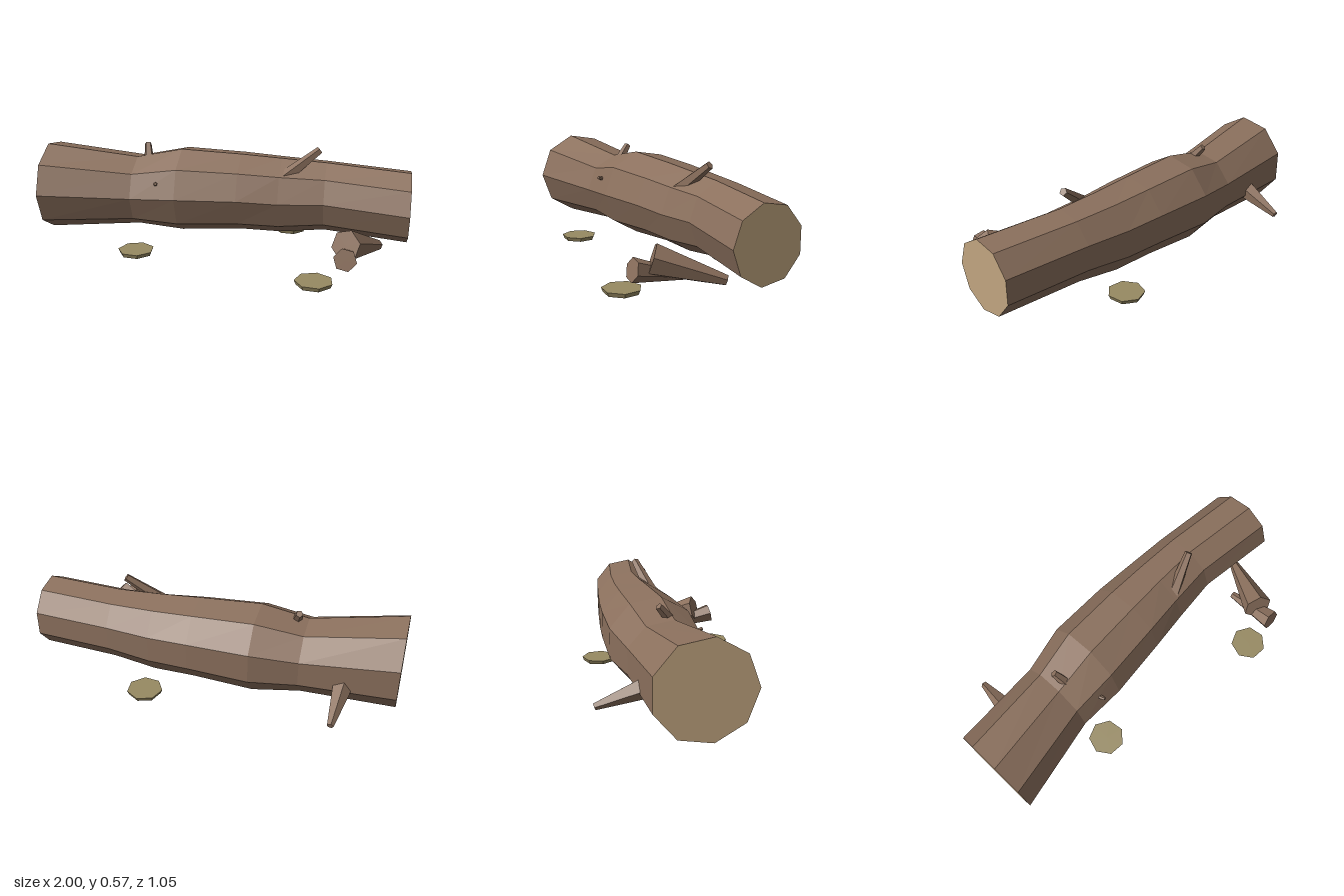
import * as THREE from 'three';

const material = (color) => new THREE.MeshStandardMaterial({ color, flatShading: true, roughness: 1 });
const bark = material(0x8b705d);
const cutWood = material(0xc2a680);
const moss = material(0x978a62);

const SIDES = 9;

// Trunk sections along its length: position, back, front, bottom, top
const SECTIONS = [
  [-0.976, -0.242, 0.235, 0.045, 0.53],
  [-0.48, -0.268, 0.137, 0.075, 0.465],
  [-0.23, -0.318, 0.147, 0.05, 0.517],
  [0.1, -0.314, 0.12, 0.073, 0.503],
  [0.32, -0.3, 0.097, 0.07, 0.49],
  [0.56, -0.279, 0.08, 0.1, 0.478],
  [1.0, -0.23, 0.135, 0.08, 0.46],
];

function ringPoints([u, back, front, bottom, top]) {
  const points = [];
  for (let k = 0; k < SIDES; k++) {
    const a = (k / SIDES) * Math.PI * 2;
    // normalised so the nine-sided ring fills its width and height
    const v = (Math.cos(a) + 0.94) / 1.94;
    const h = (Math.sin(a) + 0.985) / 1.97;
    points.push(new THREE.Vector3(u, bottom + (top - bottom) * h, back + (front - back) * v));
  }
  return points;
}

function fromTriangles(points) {
  const geometry = new THREE.BufferGeometry().setFromPoints(points);
  geometry.computeVertexNormals();
  return geometry;
}

function trunkSides(rings) {
  const tris = [];
  for (let i = 0; i < rings.length - 1; i++) {
    for (let k = 0; k < SIDES; k++) {
      const n = (k + 1) % SIDES;
      const a = rings[i][k], b = rings[i + 1][k], c = rings[i + 1][n], d = rings[i][n];
      tris.push(a, b, c, a, c, d);
    }
  }
  return fromTriangles(tris);
}

function trunkCap(ring, flip) {
  const tris = [];
  for (let k = 1; k < SIDES - 1; k++) {
    if (flip) tris.push(ring[0], ring[k + 1], ring[k]);
    else tris.push(ring[0], ring[k], ring[k + 1]);
  }
  return fromTriangles(tris);
}

// Tapered stick between two points
function branch(name, from, to, r0, r1, sides) {
  const a = new THREE.Vector3(...from), b = new THREE.Vector3(...to);
  const dir = b.clone().sub(a);
  const mesh = new THREE.Mesh(new THREE.CylinderGeometry(r1, r0, dir.length(), sides), bark);
  mesh.position.copy(a).add(b).multiplyScalar(0.5);
  mesh.quaternion.setFromUnitVectors(new THREE.Vector3(0, 1, 0), dir.normalize());
  mesh.name = name;
  return mesh;
}

export function createModel() {
  const model = new THREE.Group();
  model.name = 'fallenLog';

  // Trunk lying diagonally, with cut ends
  const trunk = new THREE.Group();
  trunk.name = 'trunk';
  trunk.rotation.y = THREE.MathUtils.degToRad(18);
  const rings = SECTIONS.map(ringPoints);
  const parts = [
    ['trunkBark', trunkSides(rings), bark],
    ['thickCutEnd', trunkCap(rings[0], false), cutWood],
    ['thinCutEnd', trunkCap(rings[rings.length - 1], true), cutWood],
  ];
  for (const [name, geometry, mat] of parts) {
    const mesh = new THREE.Mesh(geometry, mat);
    mesh.name = name;
    trunk.add(mesh);
  }
  model.add(trunk);

  // Branch stubs growing from the trunk
  model.add(
    branch('upperBranch', [0.26, 0.34, -0.05], [0.48, 0.55, -0.215], 0.045, 0.021, 5),
    branch('topStub', [-0.4, 0.43, 0.1], [-0.45, 0.525, 0.035], 0.03, 0.019, 5),
    branch('frontTwig', [-0.3, 0.35, 0.19], [-0.27, 0.367, 0.235], 0.014, 0.009, 5),
    branch('backBranch', [-0.73, 0.23, 0.03], [-0.795, 0.14, -0.22], 0.058, 0.018, 5),
  );

  // Broken branches on the ground
  model.add(
    branch('largeLooseBranch', [0.77, 0.185, 0.125], [0.83, 0.085, -0.205], 0.08, 0.026, 6),
    branch('smallLooseBranch', [0.805, 0.15, 0.22], [0.72, 0.083, -0.04], 0.058, 0.02, 6),
  );

  // Flat mossy stones
  for (const [x, z] of [[-0.33, 0.345], [0.66, 0.245], [0.235, -0.4]]) {
    const stone = new THREE.Mesh(new THREE.CylinderGeometry(0.097, 0.088, 0.022, 7), moss);
    stone.name = 'flatStone';
    stone.position.set(x, 0.011, z);
    stone.rotation.y = Math.PI / 2;
    model.add(stone);
  }

  return model;
}
